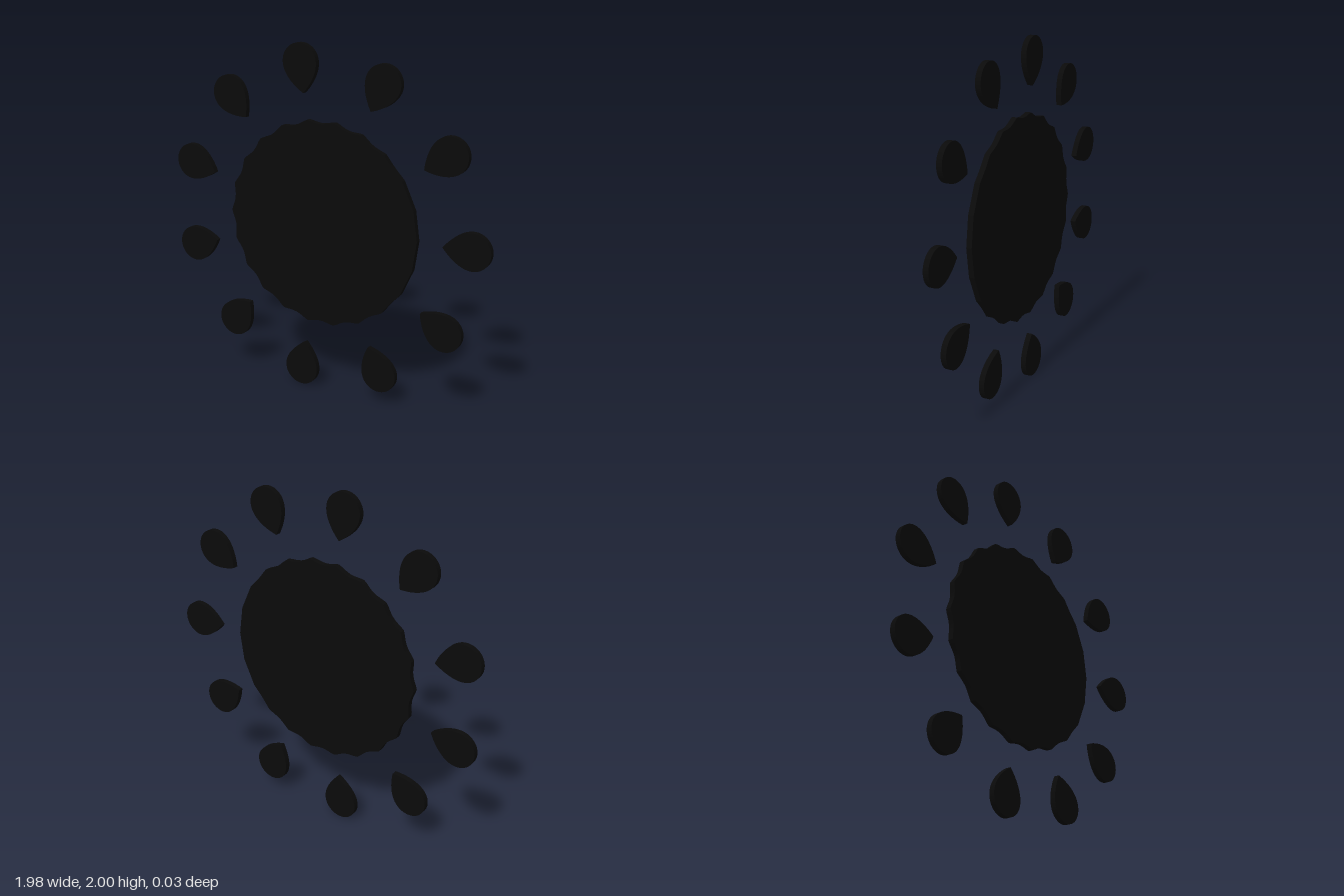
import * as THREE from 'three';

const DEPTH = 0.032;
const PETALS = 11;
const SCALLOPS = 22;
const CENTRE_X = -0.02;

function extrude(shape, name, material) {
  const geometry = new THREE.ExtrudeGeometry(shape, { depth: DEPTH, bevelEnabled: false, curveSegments: 16 });
  geometry.translate(0, 0, -DEPTH / 2);
  const mesh = new THREE.Mesh(geometry, material);
  mesh.name = name;
  return mesh;
}

// Disc outline: corners on a circle, hollowed between them, with straight edges towards +x
function discShape() {
  const points = [];
  const step = (Math.PI * 2) / SCALLOPS;
  const steps = 8;
  const corner = (i) => new THREE.Vector2(Math.cos(i * step), Math.sin(i * step)).multiplyScalar(0.592);
  for (let i = 0; i < SCALLOPS; i++) {
    const fromRight = Math.min(i + 0.5, SCALLOPS - i - 0.5);
    const dip = 0.014 * THREE.MathUtils.smoothstep(fromRight, 1.5, 4.5);
    for (let j = 0; j < steps; j++) {
      const t = j / steps;
      const p = corner(i).lerp(corner(i + 1), t);
      points.push(p.setLength(p.length() - dip * Math.sin(Math.PI * t) ** 1.5));
    }
  }
  return new THREE.Shape(points);
}

// Teardrop pointing at the disc, round end outwards
function petalShape() {
  const tip = 0.738, mid = 0.905, r = 0.104;
  const shape = new THREE.Shape();
  shape.moveTo(tip, 0);
  shape.bezierCurveTo(tip + 0.04, -0.05, mid - 0.065, -r, mid, -r);
  shape.absarc(mid, 0, r, -Math.PI / 2, Math.PI / 2, false);
  shape.bezierCurveTo(mid - 0.065, r, tip + 0.04, 0.05, tip, 0);
  return shape;
}

export function createModel() {
  const group = new THREE.Group();
  group.name = 'sunburst';
  const black = new THREE.MeshStandardMaterial({ color: 0x0a0a0a });

  const flower = new THREE.Group();
  flower.name = 'flower';
  flower.position.set(CENTRE_X, 1, 0);
  group.add(flower);

  flower.add(extrude(discShape(), 'scallopedDisc', black));

  // Ring of petals
  const petal = extrude(petalShape(), 'petal', black);
  for (let i = 0; i < PETALS; i++) {
    const copy = petal.clone();
    copy.name = `petal${i + 1}`;
    copy.rotation.z = (i * Math.PI * 2) / PETALS;
    flower.add(copy);
  }
  return group;
}
